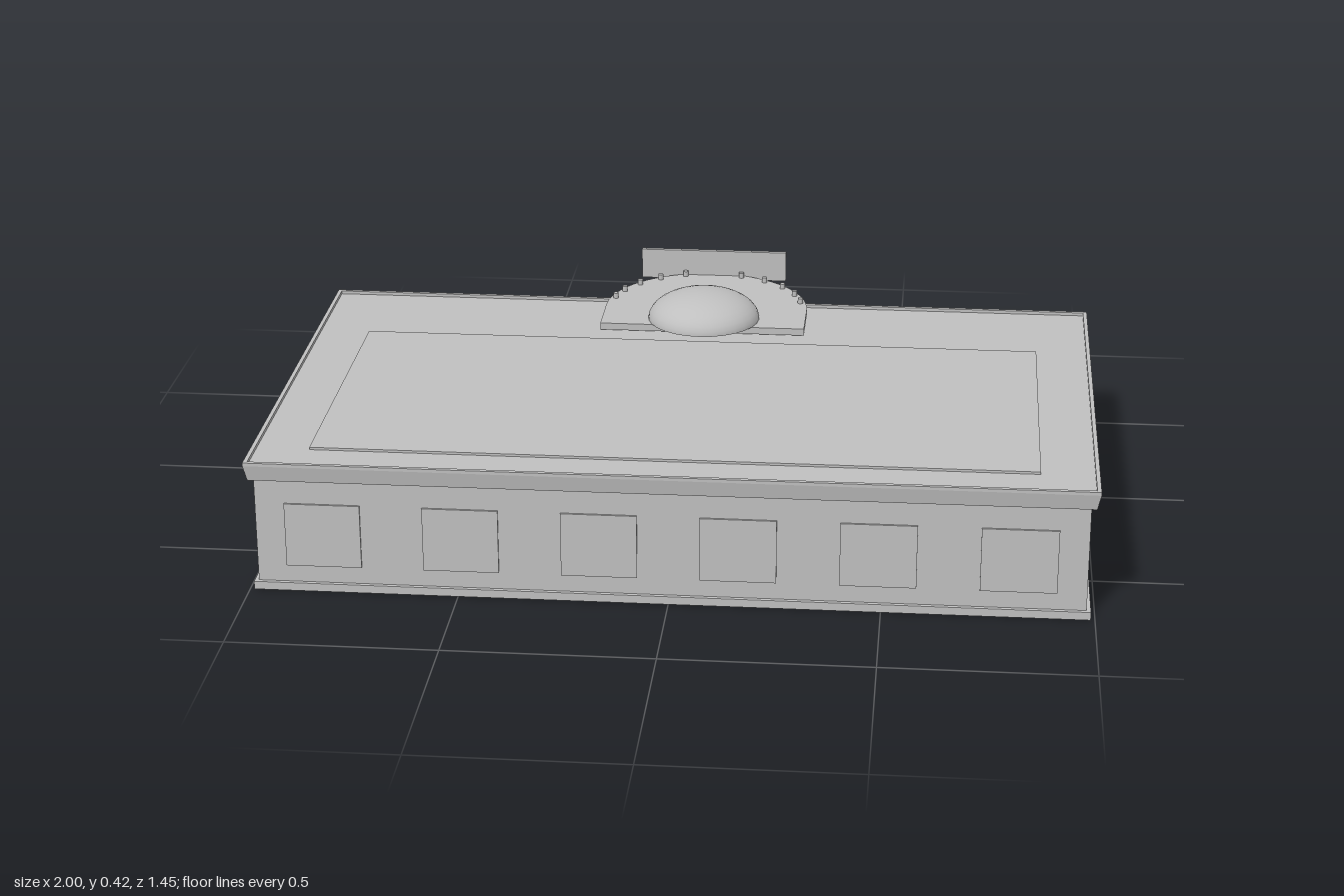
import * as THREE from 'three';

export function createModel() {
  const model = new THREE.Group();
  const stone = new THREE.MeshStandardMaterial({ color: 0xbfbfbf, flatShading: true });
  stone.name = 'grey stone';
  const smoothStone = new THREE.MeshStandardMaterial({ color: 0xbfbfbf, side: THREE.DoubleSide });
  smoothStone.name = 'grey stone';

  const add = (name, geometry, material = stone) => {
    const mesh = new THREE.Mesh(geometry, material);
    mesh.name = name;
    model.add(mesh);
    return mesh;
  };
  // Box given by its limits; flare widens the top edge outward
  const block = (name, x0, x1, y0, y1, z0, z1, flare = 0) => {
    const g = new THREE.BoxGeometry(x1 - x0, y1 - y0, z1 - z0);
    const p = g.attributes.position;
    for (let i = 0; i < p.count; i++) {
      if (p.getY(i) > 0) {
        p.setX(i, p.getX(i) + Math.sign(p.getX(i)) * flare);
        p.setZ(i, p.getZ(i) + Math.sign(p.getZ(i)) * flare);
      }
    }
    g.translate((x0 + x1) / 2, (y0 + y1) / 2, (z0 + z1) / 2);
    g.computeVertexNormals();
    return add(name, g);
  };
  // Plan outline (shape y is -z) raised from y0 to y1
  const raise = (name, shape, y0, y1) => {
    const g = new THREE.ExtrudeGeometry(shape, { depth: y1 - y0, bevelEnabled: false, curveSegments: 24 });
    g.rotateX(-Math.PI / 2).translate(0, y0, 0);
    return add(name, g);
  };
  const rect = (Type, x, front, back) => {
    const s = new Type();
    s.moveTo(-x, -front);
    s.lineTo(x, -front);
    s.lineTo(x, -back);
    s.lineTo(-x, -back);
    s.closePath();
    return s;
  };

  // Main hall
  block('plinth', -0.99, 0.99, 0, 0.02, -0.453, 0.715);
  block('hallBody', -0.98, 0.98, 0.02, 0.285, -0.442, 0.705);
  block('cornice', -0.992, 0.992, 0.283, 0.322, -0.457, 0.717, 0.008);
  const rim = rect(THREE.Shape, 1, 0.725, -0.465);
  rim.holes.push(rect(THREE.Path, 0.99, 0.715, -0.455));
  raise('parapet', rim, 0.322, 0.33);
  block('roofPanel', -0.863, 0.863, 0.322, 0.328, -0.167, 0.613);

  // Thin raised wall panels on the front and both sides
  for (let i = 0; i < 6; i++) {
    const x = -0.82 + i * 0.328;
    block('frontPanel', x - 0.09, x + 0.09, 0.063, 0.222, 0.704, 0.71);
  }
  for (let i = 0; i < 5; i++) {
    const z = 0.522 - i * 0.195;
    block('leftPanel', 0.979, 0.985, 0.063, 0.222, z - 0.058, z + 0.058);
    block('rightPanel', -0.985, -0.979, 0.063, 0.222, z - 0.058, z + 0.058);
  }

  // Back wall fins and stepped pedestals, mirrored
  for (const side of [-1, 1]) {
    for (let i = 0; i < 10; i++) {
      const x = side * (0.31 + i * 0.07);
      block('wallFin', x - 0.015, x + 0.015, 0.035, 0.283, -0.454, -0.441);
    }
    const px = side * 0.457;
    block('pedestalBase', px - 0.073, px + 0.073, 0, 0.007, -0.685, -0.59);
    for (let i = 0; i < 3; i++) {
      const w = 0.055 - i * 0.005, d = 0.038 - i * 0.0015;
      block('pedestalTier', px - w, px + w, i ? i * 0.031 : 0.005, (i + 1) * 0.031 + 0.002, -0.637 - d, -0.637 + d);
    }
  }

  // Rotunda: curved wall, canopy slab and ring of columns
  const cz = -0.37;
  const wall = new THREE.CylinderGeometry(0.237, 0.237, 0.25, 14, 1, true, Math.PI / 2, Math.PI);
  const wallMaterial = new THREE.MeshStandardMaterial({ color: 0xbfbfbf, flatShading: true, side: THREE.DoubleSide });
  wallMaterial.name = 'grey stone';
  add('rotundaWall', wall, wallMaterial).position.set(0, 0.151, cz);

  const slab = new THREE.Shape();
  slab.moveTo(-0.265, 0.23);
  slab.lineTo(0.265, 0.23);
  slab.lineTo(0.265, -cz);
  slab.absarc(0, -cz, 0.265, 0, Math.PI, false);
  slab.closePath();
  raise('canopySlab', slab, 0.328, 0.346);

  const column = new THREE.CylinderGeometry(0.007, 0.007, 0.36, 10);
  for (const side of [-1, 1]) {
    for (const deg of [12.5, 25.5, 40.5, 56, 72.5]) {
      const a = THREE.MathUtils.degToRad(deg);
      add('column', column, smoothStone).position.set(side * Math.cos(a) * 0.251, 0.18, cz - Math.sin(a) * 0.251);
    }
  }

  // Shallow dome
  const dome = new THREE.SphereGeometry(0.145, 28, 10, 0, Math.PI * 2, 0, Math.PI / 2);
  dome.scale(1, 0.073 / 0.145, 1);
  add('dome', dome, smoothStone).position.set(0, 0.347, -0.293);

  // Entrance: header board, door frame and steps
  block('headerBoard', -0.195, 0.195, 0.335, 0.415, -0.633, -0.621);
  for (const side of [-1, 1]) block('doorPost', side * 0.068 - 0.007, side * 0.068 + 0.007, 0.005, 0.33, -0.626, -0.606);
  block('doorLintel', -0.068, 0.068, 0.24, 0.255, -0.624, -0.608);
  block('bottomStep', -0.197, 0.197, 0, 0.005, -0.728, -0.66 - 0.04);
  block('middleStep', -0.182, 0.182, 0, 0.01, -0.703, -0.68);
  block('topStep', -0.165, 0.165, 0, 0.015, -0.683, -0.66);

  return model;
}
